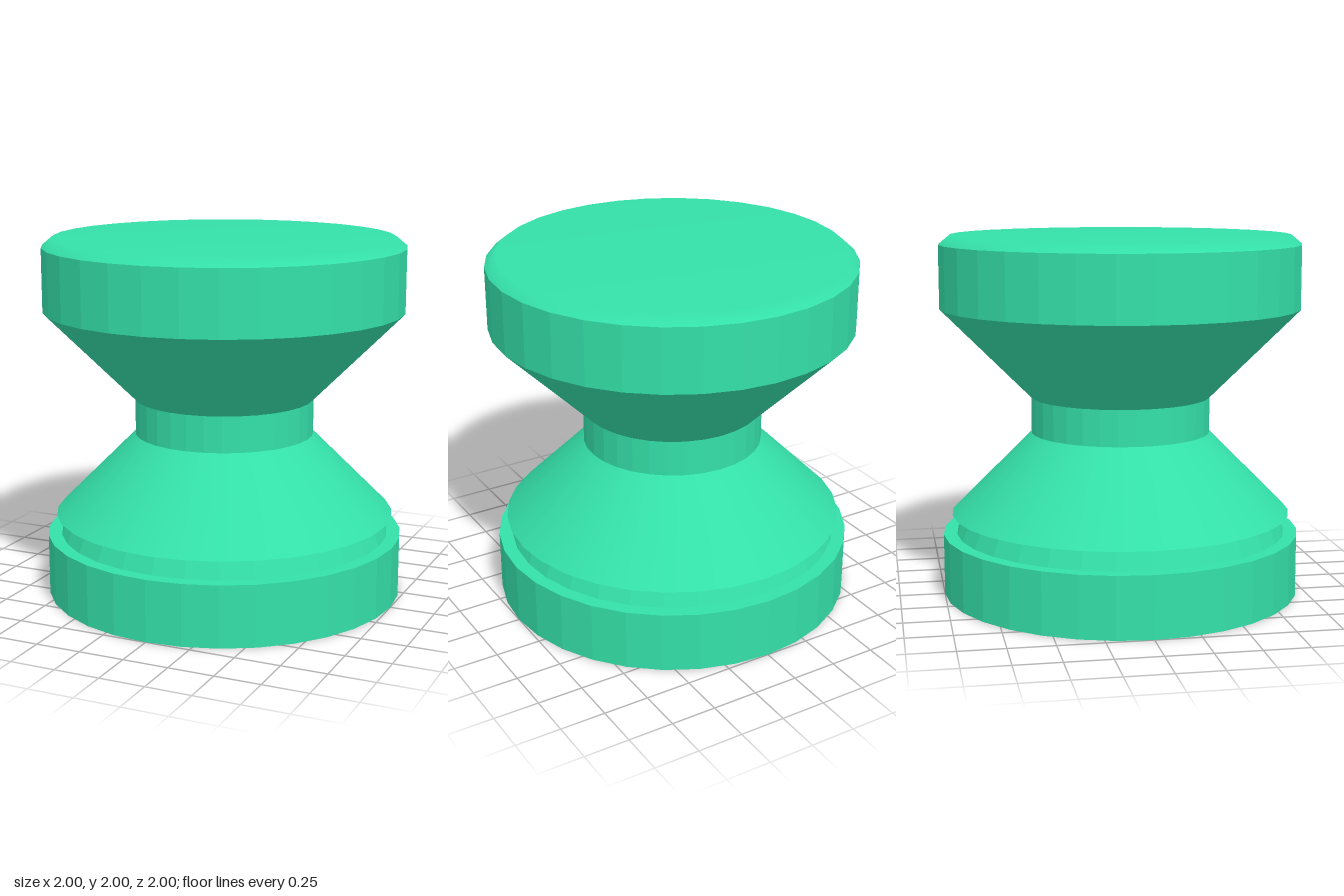
import * as THREE from 'three';

const SIDES = 32;
const COLOR = 0x34e0a8;

// Turns a profile of [radius, y] pairs (outside faces run bottom to top) into a mesh
function turned(name, profile, flatShading) {
  const points = profile.map(([r, y]) => new THREE.Vector2(r, y));
  const material = new THREE.MeshStandardMaterial({ color: COLOR, flatShading });
  const mesh = new THREE.Mesh(new THREE.LatheGeometry(points, SIDES), material);
  mesh.name = name;
  return mesh;
}

export function createModel() {
  const model = new THREE.Group();
  model.name = 'doubleKnob';
  model.add(
    // base drum with its ledge and the tapered collar standing on it
    turned('base', [[0, 0], [1, 0], [1, 0.34], [0.925, 0.34]], true),
    turned('collar', [[0.925, 0.34], [0.88, 0.45]], true),
    // overhanging lower cone
    turned('lowerConeUnderside', [[0.88, 0.45], [0.95, 0.45]], true),
    turned('lowerCone', [[0.95, 0.45], [0.5, 0.9]], false),
    // faceted waist
    turned('waist', [[0.5, 0.9], [0.5, 1.1]], true),
    // upper cone flaring out to the head
    turned('upperCone', [[0.5, 1.1], [1, 1.6]], false),
    turned('headBand', [[1, 1.6], [1, 1.95]], true),
    // softly bevelled top
    turned('headTop', [[1, 1.95], [0.94, 2], [0, 2]], false)
  );
  return model;
}
